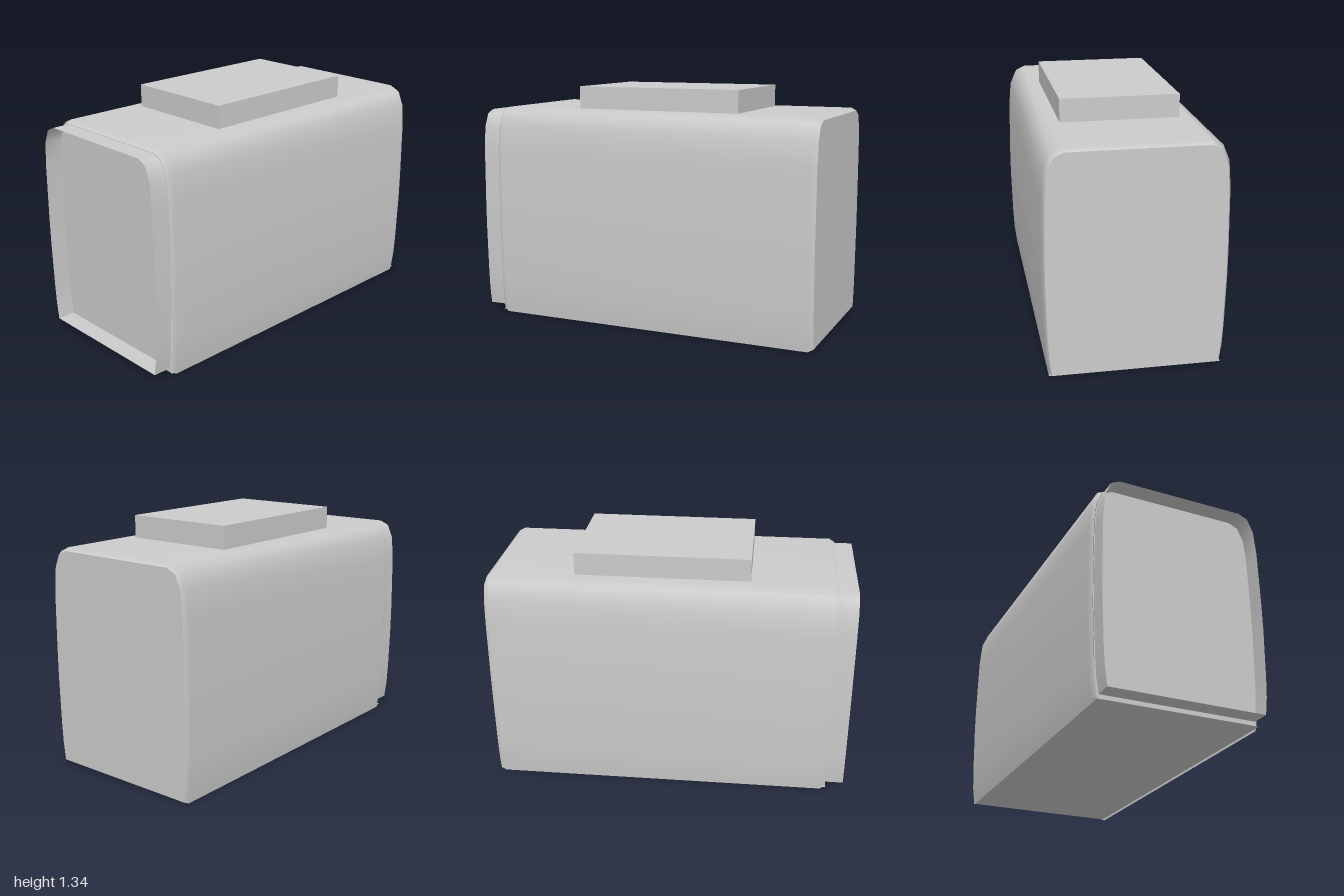
import * as THREE from 'three';

// Right half of the cross-section, bottom to top (height runs 0 to 1.215)
const HALF = [[0.45, 0], [0.463, 0.1], [0.469, 0.22], [0.476, 0.5], [0.476, 0.65],
  [0.471, 0.97], [0.459, 1.11], [0.425, 1.19], [0.37, 1.215]];

// Full arch, right foot over the top to left foot, fitted to a width scale and height range
function arch(scale, y0, y1) {
  const right = HALF.map(([x, y]) => [x * scale, y0 + (y / 1.215) * (y1 - y0)]);
  return [...right, ...right.map(([x, y]) => [-x, y]).reverse()];
}

// Skin through rings given as { z, points }, ordered from back to front
function loft(rings) {
  const n = rings[0].points.length;
  const positions = [];
  const index = [];
  rings.forEach(({ z, points }) => points.forEach(([x, y]) => positions.push(x, y, z)));
  for (let r = 0; r < rings.length - 1; r++) {
    for (let i = 0; i < n - 1; i++) {
      const a = r * n + i;
      index.push(a, a + 1, a + n + 1, a, a + n + 1, a + n);
    }
  }
  const geometry = new THREE.BufferGeometry();
  geometry.setAttribute('position', new THREE.Float32BufferAttribute(positions, 3));
  geometry.setIndex(index);
  geometry.computeVertexNormals();
  return geometry;
}

// Flat wall filling an arch, facing +z
function wall(points) {
  return new THREE.ShapeGeometry(new THREE.Shape(points.map(([x, y]) => new THREE.Vector2(x, y))));
}

export function createModel() {
  const group = new THREE.Group();
  const grey = new THREE.MeshStandardMaterial({ color: 0xcccccc, side: THREE.DoubleSide });
  grey.name = 'grey';
  const add = (name, geometry) => {
    const mesh = new THREE.Mesh(geometry, grey);
    mesh.name = name;
    group.add(mesh);
    return mesh;
  };

  // Main casing with softly bevelled ends
  const full = arch(1, 0, 1.215);
  const end = arch(0.97, 0.015, 1.2);
  add('casing', loft([
    { z: -1, points: end },
    { z: -0.97, points: full },
    { z: 0.87, points: full },
    { z: 0.9, points: end },
  ]));

  // Underside, between the feet of the casing
  const base = [[-0.45, 0.013], [0.45, 0.013]];
  add('underside', loft([{ z: -0.995, points: base }, { z: 0.9, points: base }]));

  // Back wall
  add('backWall', wall(end).rotateY(Math.PI).translate(0, 0, -1));

  // Front panel, set back inside the rim
  add('frontPanel', wall(arch(0.965, 0.015, 1.2)).translate(0, 0, 0.9));

  // Thin open rim around the front panel
  const rim = arch(0.956, 0.037, 1.197);
  const sill = [rim[rim.length - 1], rim[0]];
  add('frontRim', loft([{ z: 0.895, points: rim }, { z: 1, points: rim }]));
  add('frontRimSill', loft([{ z: 0.895, points: sill }, { z: 1, points: sill }]));

  // Block on the roof
  add('topBlock', new THREE.BoxGeometry(0.636, 0.13, 0.955)).position.set(0, 1.275, -0.0475);

  return group;
}
